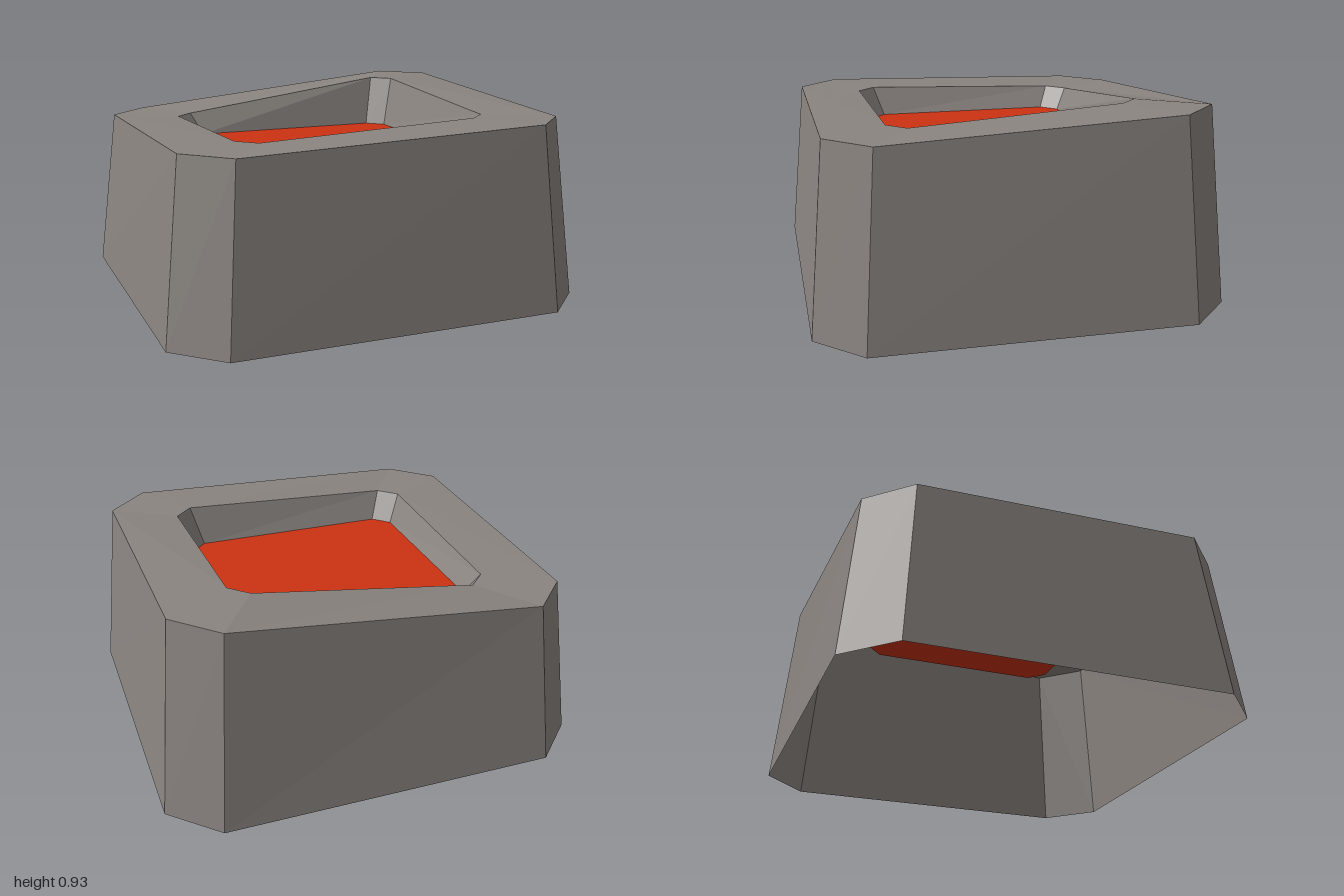
import * as THREE from 'three';

const stone = new THREE.MeshStandardMaterial({ name: 'warm grey stone', color: 0x8a8480, flatShading: true, side: THREE.DoubleSide });
const ember = new THREE.MeshStandardMaterial({ name: 'ember red', color: 0xcd3111, flatShading: true, side: THREE.DoubleSide });

// Uneven corner heights of the slanted top: front left of frame is -x
const TOP = { frontPlus: 0.866, backPlus: 0.93, backMinus: 0.787, frontMinus: 0.82 };
const FLOOR = 0.68;

// Chamfered rectangle, counterclockwise from above, two points per corner
function ring(x, z, cutX, cutZ, heights) {
  const h = typeof heights === 'number'
    ? [heights, heights, heights, heights]
    : [heights.frontPlus, heights.backPlus, heights.backMinus, heights.frontMinus];
  return [
    [x - cutX, h[0], z], [x, h[0], z - cutZ],
    [x, h[1], cutZ - z], [x - cutX, h[1], -z],
    [cutX - x, h[2], -z], [-x, h[2], cutZ - z],
    [-x, h[3], z - cutZ], [cutX - x, h[3], z],
  ];
}

function meshFrom(name, triangles, material) {
  const geometry = new THREE.BufferGeometry();
  geometry.setAttribute('position', new THREE.Float32BufferAttribute(triangles.flat(), 3));
  geometry.computeVertexNormals();
  const mesh = new THREE.Mesh(geometry, material);
  mesh.name = name;
  return mesh;
}

// Strip of faces joining two rings
function band(name, a, b, material) {
  const triangles = [];
  a.forEach((p, i) => {
    const j = (i + 1) % a.length;
    triangles.push(p, a[j], b[j], p, b[j], b[i]);
  });
  return meshFrom(name, triangles, material);
}

function cap(name, points, material) {
  const triangles = [];
  for (let i = 1; i < points.length - 1; i++) triangles.push(points[0], points[i], points[i + 1]);
  return meshFrom(name, triangles, material);
}

export function createModel() {
  const base = ring(1, 0.943, 0.215, 0.21, 0);
  const outerTop = ring(0.912, 0.865, 0.19, 0.193, TOP);
  const innerTop = ring(0.612, 0.573, 0.085, 0.085, TOP);
  const floor = ring(0.55, 0.515, 0.075, 0.075, FLOOR);

  const group = new THREE.Group();
  group.name = 'basin';
  group.add(
    band('outerWall', base, outerTop, stone),      // tapered sides, open underneath
    band('rim', outerTop, innerTop, stone),        // slanted top surface
    band('innerWall', innerTop, floor, stone),     // sides of the recess
    cap('recessFloor', floor, ember),              // red bottom of the recess
  );
  return group;
}
